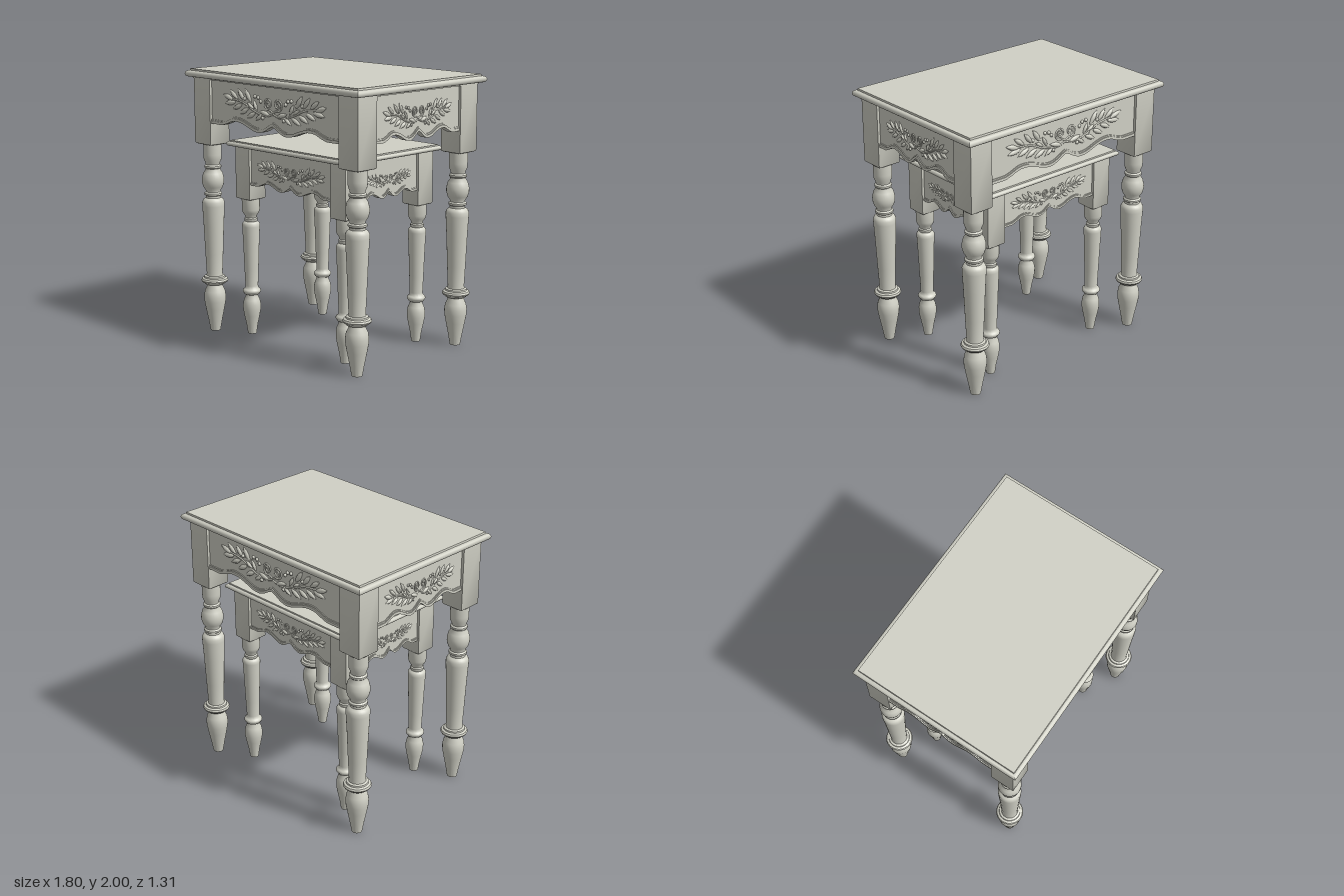
import * as THREE from 'three';
import { toCreasedNormals } from 'three/addons/utils/BufferGeometryUtils.js';

const paint = new THREE.MeshStandardMaterial({ color: 0xd0d0c5 });
paint.name = 'grey cream paint';

function add(parent, geometry, name, x = 0, y = 0, z = 0) {
  const mesh = new THREE.Mesh(geometry, paint);
  mesh.name = name;
  mesh.position.set(x, y, z);
  parent.add(mesh);
  return mesh;
}

// Rectangular solid with a moulded edge: profile rows are [outset, y], bottom to top
function mouldedBox(hx, hz, profile) {
  const pos = [];
  const ring = ([o, y]) => [[hx + o, y, hz + o], [hx + o, y, -hz - o], [-hx - o, y, -hz - o], [-hx - o, y, hz + o]];
  const quad = (a, b, c, d) => pos.push(...a, ...b, ...c, ...a, ...c, ...d);
  const rings = profile.map(ring);
  for (let i = 0; i < rings.length - 1; i++) {
    for (let k = 0; k < 4; k++) {
      const n = (k + 1) % 4;
      quad(rings[i][k], rings[i][n], rings[i + 1][n], rings[i + 1][k]);
    }
  }
  quad(...rings[rings.length - 1]);
  quad(...rings[0].slice().reverse());
  const g = new THREE.BufferGeometry();
  g.setAttribute('position', new THREE.Float32BufferAttribute(pos, 3));
  return toCreasedNormals(g, 0.75);
}

// Turned leg from rows of [radius, y]
function turned(rows) {
  const pts = [[0, 0], ...rows, [0, rows[rows.length - 1][1]]].map(p => new THREE.Vector2(...p));
  return toCreasedNormals(new THREE.LatheGeometry(pts, 28), 0.7);
}

// Half of the scalloped lower edge: [fraction of half width, height]
const SCALLOP = [[0, 0.045], [0.05, 0.03], [0.12, 0.004], [0.2, -0.012], [0.3, -0.006], [0.42, 0.022],
  [0.53, 0.04], [0.64, 0.038], [0.74, 0.014], [0.8, 0.002], [0.81, 0], [1, 0]];

function scallopLine(half, k) {
  const curve = new THREE.CatmullRomCurve3(SCALLOP.map(([t, y]) => new THREE.Vector3(t * half, y * k, 0)));
  const right = curve.getPoints(44).map(p => new THREE.Vector2(p.x, p.y));
  const left = right.slice(1).reverse().map(p => new THREE.Vector2(-p.x, p.y));
  return [...left, ...right];
}

function extrude(points, depth) {
  const g = new THREE.ExtrudeGeometry(new THREE.Shape(points), { depth, bevelEnabled: false });
  return toCreasedNormals(g, 0.5);
}

// Carved leaf and sprig data: [x, y, angle, length]
const LEAVES = [
  [0.48, 0.03, 0.3, 0.12], [0.42, 0.055, 0.62, 0.11], [0.34, 0.06, 0.85, 0.11], [0.265, 0.06, 0.95, 0.12],
  [0.19, 0.0, 1.05, 0.09], [0.46, -0.008, -0.15, 0.12], [0.38, -0.03, -0.4, 0.11], [0.31, -0.055, -0.45, 0.11],
  [0.235, -0.078, -0.45, 0.11], [0.15, -0.085, -0.6, 0.09], [0.09, -0.05, 0.25, 0.11], [0.24, -0.01, 0.5, 0.08]];
const BERRIES = [[0.13, 0.03], [0.155, 0.055], [0.19, 0.06], [0.11, -0.085], [0.3, 0.035]];
const STEM = [[0, -0.05], [0.08, -0.07], [0.2, -0.045], [0.32, 0.005], [0.46, 0.022]];
const leafGeo = new THREE.LatheGeometry(
  [[0, -0.5], [0.1, -0.36], [0.17, -0.08], [0.15, 0.15], [0.07, 0.37], [0, 0.5]].map(p => new THREE.Vector2(...p)), 8);
leafGeo.rotateZ(-Math.PI / 2);
const berryGeo = new THREE.SphereGeometry(0.013, 10, 8);

function carving() {
  const g = new THREE.Group();
  g.name = 'carvedSprig';
  for (const s of [-1, 1]) {
    const path = pts => new THREE.CatmullRomCurve3(pts.map(([x, y]) => new THREE.Vector3(s * x, y, 0)));
    add(g, new THREE.TubeGeometry(path(STEM), 24, 0.007, 6), 'stem');
    // scroll beside the centre
    const spiral = [[0.0, -0.04]];
    for (let i = 0; i <= 22; i++) {
      const a = -1.9 + i * 0.48, r = 0.046 - i * 0.0018;
      spiral.push([0.05 + r * Math.cos(a), 0.02 + r * Math.sin(a)]);
    }
    add(g, new THREE.TubeGeometry(path(spiral), 60, 0.007, 6), 'scroll');
    for (const [x, y, a, len] of LEAVES) {
      const leaf = add(g, leafGeo, 'leaf', s * x, y, 0);
      leaf.rotation.z = s > 0 ? a : Math.PI - a;
      leaf.scale.set(len, len * 0.95, 0.09);
    }
    for (const [x, y] of BERRIES) add(g, berryGeo, 'berry', s * x, y, 0.002);
  }
  return g;
}

// One side: scalloped board, bead along its lower edge and a carved sprig
function apron(half, height, k, sprig) {
  const g = new THREE.Group();
  g.name = 'apron';
  const low = scallopLine(half, k);
  add(g, extrude([...low, new THREE.Vector2(half, height), new THREE.Vector2(-half, height)], 0.04), 'apronBoard', 0, 0, -0.04);
  const band = (from, to, depth) => extrude([
    ...low.map(p => new THREE.Vector2(p.x, p.y + from * k)),
    ...low.map(p => new THREE.Vector2(p.x, p.y + to * k)).reverse()], depth);
  add(g, band(0, 0.02, 0.013 * k), 'lowerBead');
  add(g, band(0.02, 0.03, 0.006 * k), 'upperBead');
  const c = carving();
  c.position.y = sprig.y;
  c.scale.set(sprig.sx, sprig.sy, sprig.sy);
  g.add(c);
  return g;
}

function table(o) {
  const g = new THREE.Group();
  g.name = o.name;
  const { x, z, r, blockY, underY, topY, lowY, k } = o;
  const t = topY - underY, e = o.overhang;
  // table top with rounded nose and raised field
  const nose = [];
  for (let i = 0; i <= 8; i++) {
    const a = -Math.PI / 2 + (i / 8) * Math.PI;
    nose.push([e - 0.022 * k + 0.022 * k * Math.cos(a), underY + t * (0.48 + 0.33 * Math.sin(a))]);
  }
  add(g, mouldedBox(x + r, z + r, [[0.005, underY], [0.005, underY + t * 0.15], ...nose,
    [e - 0.028 * k, underY + t * 0.81], [e - 0.03 * k, topY]]), 'tableTop');
  // closed body behind the aprons
  const floorY = lowY + 0.07 * k;
  add(g, new THREE.BoxGeometry(2 * (x + r - 0.03), underY - floorY, 2 * (z + r - 0.03)), 'body', 0, (underY + floorY) / 2, 0);
  // legs
  const block = mouldedBox(r, r, [[-0.02, blockY], [-0.006, blockY + 0.005], [0, blockY + 0.013], [0, underY]]);
  const post = turned(o.leg);
  for (const sx of [-1, 1]) for (const sz of [-1, 1]) {
    add(g, block, 'legBlock', sx * x, 0, sz * z);
    add(g, post, 'turnedLeg', sx * x, 0, sz * z);
  }
  // four aprons, set back from the leg blocks
  for (let i = 0; i < 4; i++) {
    const long = i % 2 === 0;
    const a = apron((long ? x : z) - r, underY - lowY, k, long ? o.longSprig : o.shortSprig);
    const d = (long ? z : x) + r - 0.02;
    a.rotation.y = i * Math.PI / 2;
    a.position.set(Math.sin(i * Math.PI / 2) * d, lowY, Math.cos(i * Math.PI / 2) * d);
    g.add(a);
  }
  return g;
}

export function createModel() {
  const model = new THREE.Group();
  model.name = 'nestingTables';
  model.add(table({
    name: 'largeTable', x: 0.76, z: 0.515, r: 0.09, blockY: 1.44, underY: 1.93, topY: 2, lowY: 1.61, k: 1, overhang: 0.048,
    longSprig: { y: 0.18, sx: 1, sy: 1 }, shortSprig: { y: 0.165, sx: 0.65, sy: 0.85 },
    leg: [[0.038, 0], [0.052, 0.08], [0.07, 0.17], [0.081, 0.23], [0.083, 0.27], [0.077, 0.31], [0.06, 0.345], [0.056, 0.36],
      [0.075, 0.366], [0.08, 0.375], [0.096, 0.383], [0.102, 0.395], [0.096, 0.408], [0.08, 0.415], [0.078, 0.426],
      [0.062, 0.432], [0.06, 0.45], [0.067, 0.6], [0.076, 0.82], [0.084, 0.97], [0.084, 1.0], [0.075, 1.02], [0.056, 1.032],
      [0.056, 1.048], [0.066, 1.055], [0.066, 1.068], [0.055, 1.078], [0.055, 1.088], [0.073, 1.115], [0.083, 1.15],
      [0.083, 1.18], [0.073, 1.22], [0.056, 1.245], [0.056, 1.255], [0.063, 1.262], [0.063, 1.275], [0.052, 1.285],
      [0.055, 1.3], [0.066, 1.325], [0.068, 1.36], [0.068, 1.45]],
  }));
  model.add(table({
    name: 'smallTable', x: 0.5, z: 0.37, r: 0.077, blockY: 1.04, underY: 1.43, topY: 1.48, lowY: 1.16, k: 0.75, overhang: 0.048,
    longSprig: { y: 0.135, sx: 0.67, sy: 0.68 }, shortSprig: { y: 0.125, sx: 0.45, sy: 0.5 },
    leg: [[0.033, 0], [0.043, 0.07], [0.058, 0.14], [0.067, 0.19], [0.067, 0.23], [0.06, 0.265], [0.047, 0.29], [0.046, 0.305],
      [0.058, 0.311], [0.06, 0.318], [0.067, 0.325], [0.069, 0.334], [0.065, 0.344], [0.058, 0.35], [0.05, 0.358],
      [0.048, 0.375], [0.053, 0.5], [0.06, 0.7], [0.066, 0.83], [0.066, 0.85], [0.058, 0.862], [0.045, 0.87],
      [0.05, 0.88], [0.05, 0.892], [0.042, 0.9], [0.045, 0.915], [0.06, 0.935], [0.067, 0.96], [0.067, 1.05]],
  }));
  return model;
}
